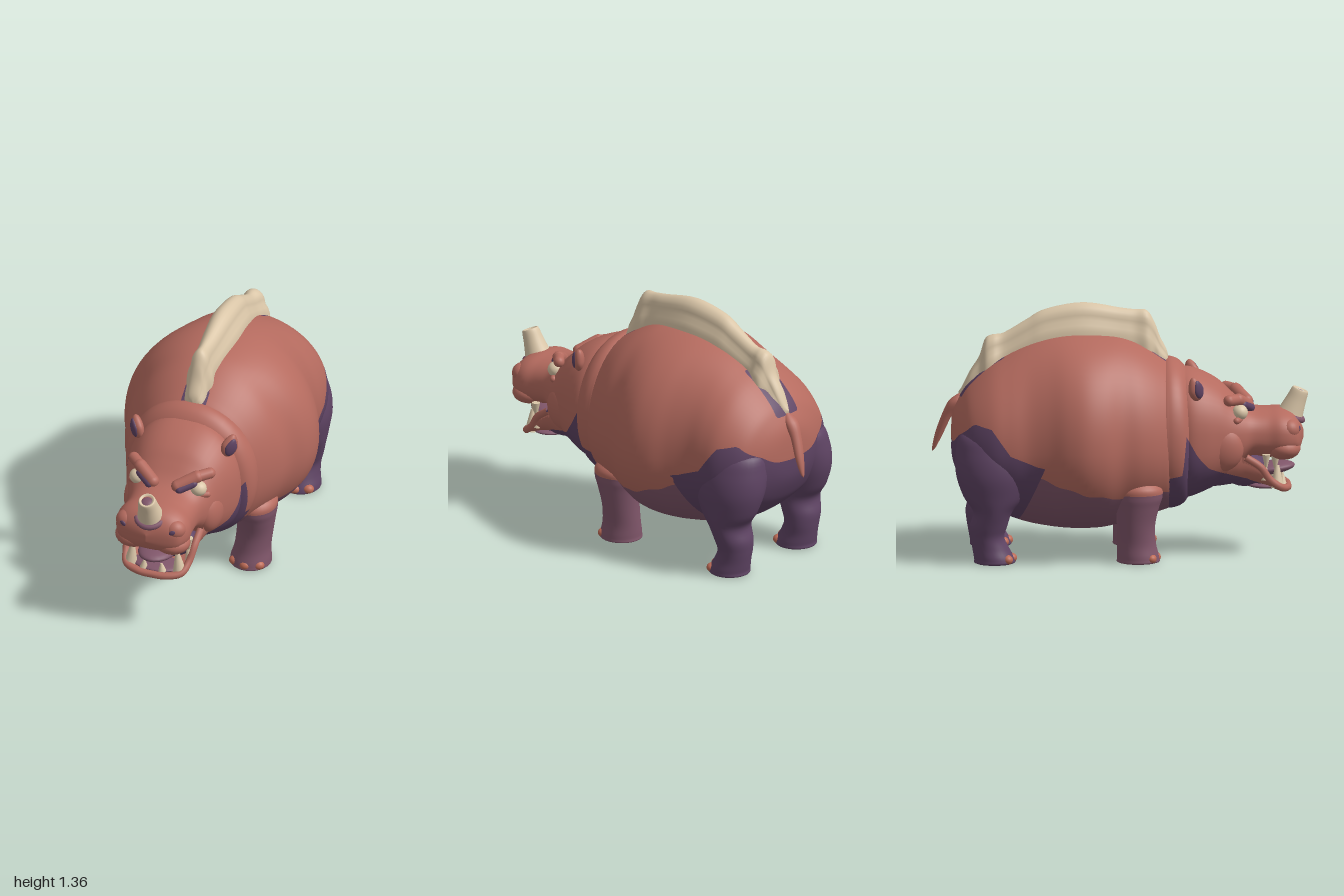
import * as THREE from 'three';

const mat = (name, color) => {
  const m = new THREE.MeshStandardMaterial({ color });
  m.name = name;
  return m;
};

// Smooth interpolation between table rows
const spline = (a, b, c, d, t) =>
  0.5 * (2 * b + (c - a) * t + (2 * a - 5 * b + 4 * c - d) * t * t + (3 * b - a - 3 * c + d) * t * t * t);

// Linear lookup in [key, value] pairs with ascending keys
function lookup(table, k) {
  if (k <= table[0][0]) return table[0][1];
  for (let i = 1; i < table.length; i++) {
    const [k0, v0] = table[i - 1], [k1, v1] = table[i];
    if (k <= k1) return v0 + ((v1 - v0) * (k - k0)) / (k1 - k0);
  }
  return table[table.length - 1][1];
}

// Closed skin through cross-sections; place(row, cos, sin) gives one point
function loft(rows, place, sides = 48, sub = 5) {
  const pos = [], idx = [], last = rows.length - 1, rings = last * sub;
  const at = i => rows[Math.min(last, Math.max(0, i))];
  for (let k = 0; k <= rings; k++) {
    const i = Math.min(last - 1, Math.floor(k / sub)), t = k / sub - i;
    const row = rows[0].map((_, j) => spline(at(i - 1)[j], at(i)[j], at(i + 1)[j], at(i + 2)[j], t));
    for (let s = 0; s < sides; s++) {
      const a = (s / sides) * Math.PI * 2;
      pos.push(...place(row, Math.cos(a), Math.sin(a)));
      if (k < rings) {
        const n = (s + 1) % sides, p = k * sides;
        idx.push(p + s, p + n, p + sides + s, p + n, p + sides + n, p + sides + s);
      }
    }
  }
  const g = new THREE.BufferGeometry();
  g.setAttribute('position', new THREE.Float32BufferAttribute(pos, 3));
  g.setIndex(idx);
  g.computeVertexNormals();
  return g;
}

const power = (v, e) => Math.sign(v) * Math.pow(Math.abs(v), 2 / e);

// Rows along z: [z, top, bottom, half width]
const alongZ = (exp, waist) => ([z, top, bot, w], c, s) => {
  const mid = bot + (top - bot) * waist;
  return [Math.max(0, w) * power(c, exp), mid + (s > 0 ? top - mid : mid - bot) * power(s, exp), z];
};
// Rows along y: [y, centre x, centre z, radius x, radius z]
const alongY = side => ([y, cx, cz, rx, rz], c, s) =>
  [cx * side + Math.max(0, rx) * c, Math.max(0, y), cz - Math.max(0, rz) * s];

// Slices a surface where rule(x, y, z) changes sign: [positive part, negative part]
function cut(geo, rule) {
  const g = geo.index ? geo.toNonIndexed() : geo;
  const p = g.attributes.position, n = g.attributes.normal;
  return [1, -1].map(sign => {
    const pos = [], nor = [];
    for (let i = 0; i < p.count; i += 3) {
      const tri = [i, i + 1, i + 2].map(j => [p.getX(j), p.getY(j), p.getZ(j), n.getX(j), n.getY(j), n.getZ(j)]);
      const val = tri.map(v => sign * rule(v[0], v[1], v[2]));
      const poly = [];
      for (let a = 0; a < 3; a++) {
        const b = (a + 1) % 3;
        if (val[a] >= 0) poly.push(tri[a]);
        if (val[a] >= 0 !== val[b] >= 0) {
          const t = val[a] / (val[a] - val[b]);
          poly.push(tri[a].map((q, j) => q + (tri[b][j] - q) * t));
        }
      }
      for (let a = 1; a + 1 < poly.length; a++)
        for (const v of [poly[0], poly[a], poly[a + 1]]) {
          pos.push(v[0], v[1], v[2]);
          nor.push(v[3], v[4], v[5]);
        }
    }
    const out = new THREE.BufferGeometry();
    out.setAttribute('position', new THREE.Float32BufferAttribute(pos, 3));
    out.setAttribute('normal', new THREE.Float32BufferAttribute(nor, 3));
    return out;
  });
}

export function createModel() {
  const root = new THREE.Group();
  root.name = 'hornedBeast';
  const hide = mat('red hide', 0xb56b5f), mauve = mat('mauve skin', 0x80566a), purple = mat('purple skin', 0x5f4464);
  const bone = mat('bone', 0xdac6a8), toeRed = mat('toe orange', 0xbd6a55);

  const add = (name, geo, material, pos = [0, 0, 0], rot = [0, 0, 0]) => {
    const m = new THREE.Mesh(geo, material);
    m.name = name;
    m.position.set(...pos);
    m.rotation.set(...rot);
    root.add(m);
    return m;
  };
  const blob = (name, material, pos, r, rot) =>
    add(name, new THREE.SphereGeometry(1, 24, 16), material, pos, rot).scale.set(...r);
  const rod = (name, material, a, b, r) => {
    const A = new THREE.Vector3(...a), B = new THREE.Vector3(...b), d = B.clone().sub(A);
    const m = add(name, new THREE.CapsuleGeometry(r, d.length(), 8, 16), material, A.add(B).multiplyScalar(0.5).toArray());
    m.quaternion.setFromUnitVectors(new THREE.Vector3(0, 1, 0), d.normalize());
  };

  // Body, painted with purple haunches, mauve belly and a dark rim round the crest
  const body = loft([[-0.9, 0.66, 0.64, 0], [-0.89, 0.78, 0.52, 0.15], [-0.85, 0.87, 0.42, 0.28], [-0.8, 0.94, 0.35, 0.36],
    [-0.7, 1.03, 0.27, 0.42], [-0.6, 1.09, 0.215, 0.435], [-0.5, 1.14, 0.18, 0.44], [-0.4, 1.175, 0.16, 0.47],
    [-0.3, 1.195, 0.148, 0.515], [-0.2, 1.2, 0.145, 0.535], [-0.1, 1.195, 0.15, 0.515], [0, 1.18, 0.17, 0.465],
    [0.1, 1.14, 0.2, 0.44], [0.2, 1.08, 0.23, 0.39], [0.27, 1.02, 0.26, 0.33], [0.31, 0.9, 0.34, 0.2],
    [0.32, 0.64, 0.64, 0]], alongZ(2.05, 0.45), 72);
  const haunchTop = [[-0.9, 0.62], [-0.87, 0.68], [-0.79, 0.76], [-0.7, 0.74], [-0.6, 0.6], [-0.45, 0.54]];
  const bellyTop = [[-0.45, 0.48], [-0.39, 0.46], [-0.29, 0.42], [-0.15, 0.38], [0, 0.36], [0.3, 0.385]];
  const [haunchSkin, rest] = cut(body, (x, y, z) =>
    Math.min(lookup(haunchTop, z) - y, -0.42 - (0.53 - y) * 0.4 - z));
  const [bellySkin, upper] = cut(rest, (x, y, z) => lookup(bellyTop, z) - y + 0.006 * Math.sin(z * 40));
  const [crestRim, back] = cut(upper, (x, y, z) =>
    Math.min((z < 0 ? 0.085 : 0.07) - Math.abs(x), Math.max(-0.62 - z, z - 0.15), y - 0.86, 0.25 - z));
  add('rump', haunchSkin, purple);
  add('belly', bellySkin, mauve);
  add('crestRim', crestRim, purple);
  add('back', back, hide);

  // Bony crest with side grooves and knobs near both ends
  add('crest', loft([[-0.86, 0.88, 0.82, 0], [-0.84, 0.91, 0.82, 0.035], [-0.8, 0.99, 0.88, 0.055], [-0.75, 1.07, 0.94, 0.06],
    [-0.72, 1.16, 0.97, 0.085], [-0.68, 1.185, 1, 0.085], [-0.62, 1.195, 1.03, 0.065], [-0.5, 1.265, 1.09, 0.075],
    [-0.4, 1.32, 1.13, 0.085], [-0.2, 1.355, 1.15, 0.095], [0, 1.325, 1.13, 0.075], [0.08, 1.315, 1.11, 0.065],
    [0.14, 1.31, 1.08, 0.075], [0.18, 1.25, 1.06, 0.06], [0.21, 1.17, 1.04, 0.06], [0.245, 1.1, 1.03, 0.045],
    [0.255, 1.06, 1.03, 0]], ([z, top, base, w], c, s) => {
    const groove = s > 0 ? 1 - 0.18 * Math.exp(-(((s - 0.62) / 0.14) ** 2)) : 1;
    return [Math.max(0, w) * c * groove, base + (s > 0 ? (top - base) * s : 0.04 * s), z];
  }, 40), bone);

  // Neck collar, head and lower jaw share one paint line
  const throat = [[0.22, 0.45], [0.32, 0.47], [0.34, 0.68], [0.4, 0.57], [0.46, 0.5], [0.55, 0.46], [0.65, 0.43], [0.75, 0.39], [0.83, 0.34]];
  const painted = (name, geo) => {
    const [low, high] = cut(geo, (x, y, z) => lookup(throat, z) - y);
    add(name + 'Underside', low, purple);
    add(name, high, hide);
  };
  painted('collar', loft([[0.18, 0.9, 0.4, 0.2], [0.21, 1.02, 0.28, 0.345], [0.25, 1.055, 0.25, 0.365], [0.3, 1.045, 0.255, 0.36],
    [0.34, 1.01, 0.28, 0.335], [0.37, 0.96, 0.33, 0.28]], alongZ(2.1, 0.48)));
  painted('head', loft([[0.28, 1, 0.3, 0.28], [0.36, 1, 0.31, 0.315], [0.44, 0.975, 0.34, 0.305], [0.52, 0.93, 0.38, 0.275],
    [0.58, 0.875, 0.42, 0.25], [0.64, 0.82, 0.49, 0.225], [0.7, 0.79, 0.53, 0.2], [0.78, 0.785, 0.52, 0.195],
    [0.85, 0.785, 0.525, 0.205], [0.91, 0.765, 0.54, 0.19], [0.95, 0.72, 0.565, 0.145], [0.975, 0.66, 0.62, 0]], alongZ(2.4, 0.45)));
  // Jaw rows: [z, rim, bottom, half width, floor]
  painted('jaw', loft([[0.38, 0.55, 0.36, 0.2, 0.5], [0.5, 0.56, 0.365, 0.215, 0.52], [0.6, 0.555, 0.378, 0.21, 0.5],
    [0.66, 0.54, 0.38, 0.2, 0.43], [0.73, 0.49, 0.378, 0.19, 0.4], [0.78, 0.43, 0.37, 0.185, 0.385],
    [0.84, 0.385, 0.345, 0.165, 0.372], [0.88, 0.37, 0.345, 0.12, 0.36], [0.905, 0.362, 0.355, 0, 0.36]],
  ([z, rim, bot, w, floor], c, s) =>
    [Math.max(0, w) * power(c, 2.6), s > 0 ? rim - (rim - floor) * power(s, 4) : rim + (rim - bot) * power(s, 2.6), z]));
  const lip = [[0.195, 0.545, 0.66], [0.19, 0.49, 0.74], [0.178, 0.42, 0.79], [0.155, 0.375, 0.85], [0.08, 0.362, 0.885]];
  const lipPath = [...lip, [0, 0.36, 0.89], ...lip.map(([x, y, z]) => [-x, y, z]).reverse()].map(p => new THREE.Vector3(...p));
  add('lowerLip', new THREE.TubeGeometry(new THREE.CatmullRomCurve3(lipPath), 60, 0.02, 10), hide);

  // Mouth
  blob('mouthLining', purple, [0, 0.46, 0.66], [0.175, 0.1, 0.13]);
  blob('mouthFloor', mauve, [0, 0.375, 0.77], [0.15, 0.022, 0.11]);
  blob('tongue', mauve, [0, 0.455, 0.79], [0.1, 0.035, 0.14], [-0.12, 0, 0]);

  // Nose horn, hollow at the tip
  const tilt = [0.4, 0, 0], hornPos = [0, 0.725, 0.895];
  const spin = pts => new THREE.LatheGeometry(new THREE.SplineCurve(pts.map(p => new THREE.Vector2(...p))).getPoints(24), 28);
  add('horn', spin([[0.085, -0.03], [0.07, 0.025], [0.055, 0.1], [0.047, 0.155], [0.04, 0.167], [0.029, 0.16]]), bone, hornPos, tilt);
  add('hornHollow', new THREE.SphereGeometry(0.031, 20, 8), mauve, [0, 0.864, 0.955], tilt).scale.y = 0.35;
  add('hornRing', new THREE.TorusGeometry(0.074, 0.016, 10, 32), mauve, [0, 0.74, 0.9], [Math.PI / 2 + 0.4, 0, 0]);

  // Ear leaf, narrowing to the tip
  const leaf = new THREE.SphereGeometry(1, 24, 18);
  const lp = leaf.attributes.position;
  for (let i = 0; i < lp.count; i++) {
    const y = lp.getY(i);
    lp.setX(i, lp.getX(i) * (1 - 0.35 * Math.max(0, y)));
  }
  leaf.computeVertexNormals();

  for (const s of [1, -1]) {
    const side = s > 0 ? 'left' : 'right';
    // Face
    blob(side + 'Cheek', hide, [s * 0.2, 0.6, 0.53], [0.075, 0.13, 0.12]);
    blob(side + 'UpperLip', hide, [s * 0.11, 0.58, 0.865], [0.098, 0.062, 0.09]);
    blob(side + 'NostrilBulge', hide, [s * 0.135, 0.685, 0.895], [0.06, 0.055, 0.055]);
    blob(side + 'Nostril', purple, [s * 0.14, 0.69, 0.945], [0.02, 0.014, 0.008], [0, s * 0.3, s * 0.5]);
    blob(side + 'Eye', bone, [s * 0.172, 0.785, 0.63], [0.045, 0.042, 0.042]);
    rod(side + 'Brow', hide, [s * 0.07, 0.805, 0.675], [s * 0.16, 0.85, 0.62], 0.034);
    rod(side + 'BrowEnd', hide, [s * 0.16, 0.85, 0.62], [s * 0.215, 0.855, 0.57], 0.03);
    rod(side + 'Eyelid', purple, [s * 0.085, 0.795, 0.69], [s * 0.15, 0.822, 0.648], 0.023);
    rod(side + 'LowerLid', hide, [s * 0.125, 0.752, 0.665], [s * 0.215, 0.745, 0.61], 0.018);
    const earTurn = [0, s * 0.75, s * -0.35];
    add(side + 'Ear', leaf, hide, [s * 0.262, 0.928, 0.39], earTurn).scale.set(0.048, 0.068, 0.03);
    add(side + 'EarInner', leaf, purple, [s * 0.275, 0.928, 0.406], earTurn).scale.set(0.034, 0.052, 0.016);

    // Teeth: [x, y, z, radius, height, pointing down]
    for (const [x, y, z, r, h, down] of [[0.132, 0.43, 0.83, 0.036, 0.12, 0], [0.05, 0.398, 0.862, 0.022, 0.045, 0],
      [0.165, 0.46, 0.765, 0.022, 0.09, 0], [0.125, 0.51, 0.82, 0.024, 0.07, 1], [0.17, 0.52, 0.77, 0.022, 0.07, 1]])
      add(side + 'Tooth', new THREE.CylinderGeometry(r * 0.3, r, h, 16), bone, [s * x, y, z], [down ? Math.PI : 0, 0, down ? 0 : s * 0.1]);

    // Front leg with a red shoulder
    const [shoulder, leg] = cut(loft([[0, 0.27, 0.085, 0, 0], [0, 0.27, 0.085, 0.1, 0.105], [0.025, 0.27, 0.085, 0.11, 0.113],
      [0.1, 0.277, 0.075, 0.098, 0.104], [0.2, 0.289, 0.072, 0.098, 0.102], [0.3, 0.3, 0.08, 0.103, 0.115],
      [0.36, 0.3, 0.085, 0.112, 0.128], [0.42, 0.295, 0.085, 0.105, 0.115], [0.5, 0.28, 0.08, 0, 0]], alongY(s), 36),
    (x, y) => y - 0.375);
    add(side + 'FrontLeg', leg, mauve);
    add(side + 'Shoulder', shoulder, hide);

    // Hind leg with haunch
    add(side + 'HindLeg', loft([[0, 0.27, -0.68, 0, 0], [0, 0.27, -0.68, 0.1, 0.1], [0.025, 0.27, -0.68, 0.11, 0.108],
      [0.08, 0.27, -0.7, 0.1, 0.098], [0.14, 0.27, -0.718, 0.1, 0.09], [0.2, 0.275, -0.712, 0.11, 0.1],
      [0.28, 0.28, -0.69, 0.125, 0.105], [0.36, 0.28, -0.685, 0.14, 0.16], [0.48, 0.27, -0.685, 0.165, 0.2],
      [0.6, 0.25, -0.69, 0.165, 0.195], [0.7, 0.23, -0.7, 0.13, 0.15], [0.76, 0.2, -0.7, 0, 0]], alongY(s), 36), purple);

    // Toes
    for (const z of [0.085, -0.68])
      for (const a of [-0.75, 0, 0.75])
        blob(side + 'Toe', toeRed, [s * 0.27 + 0.098 * Math.sin(a), 0.026, z + 0.092 * Math.cos(a)], [0.032, 0.026, 0.028]);
  }

  // Tail
  add('tail', loft([[0.55, 0.04, -1, 0, 0], [0.57, 0.04, -0.99, 0.012, 0.01], [0.65, 0.03, -0.962, 0.026, 0.022],
    [0.75, 0.012, -0.922, 0.032, 0.028], [0.83, 0, -0.875, 0.038, 0.036], [0.88, 0, -0.84, 0, 0]], alongY(1), 20), hide);
  return root;
}
